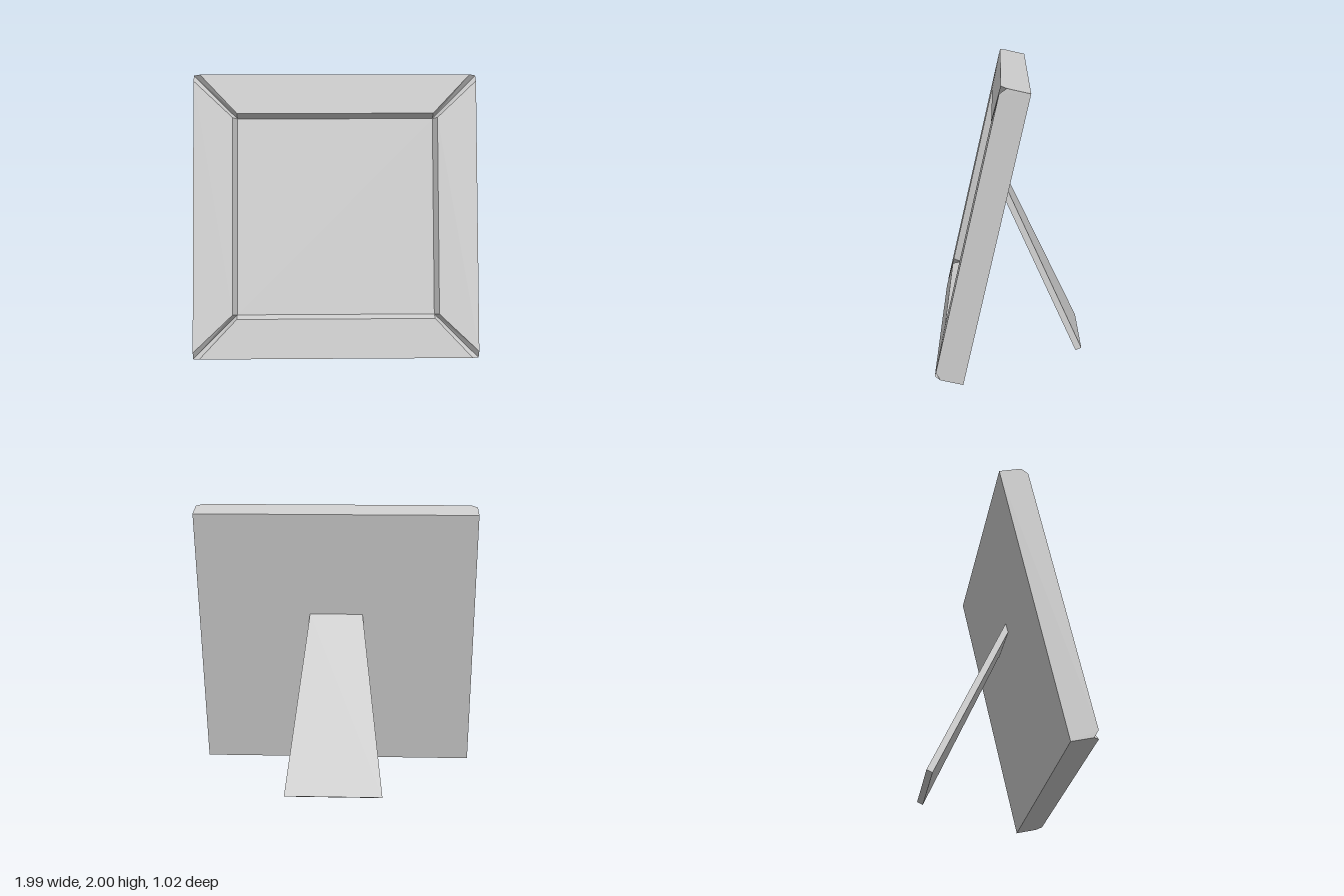
import * as THREE from 'three';

const HALF = 0.995;      // half of the outer square
const INNER = 0.69;      // half of the recessed panel
const LIP = 0.72;        // front edge of the inner bevel
const NOTCH = 0.95;      // where the front face stops before the mitre groove
const THICK = 0.195;
const RECESS = 0.06;

const material = new THREE.MeshStandardMaterial({ color: 0xcccccc, flatShading: true });

function add(parent, name, geometry) {
  const mesh = new THREE.Mesh(geometry, material);
  mesh.name = name;
  parent.add(mesh);
  return mesh;
}

// Flat-shaded geometry from convex polygons, each drawn as a fan
function fromPolygons(polygons) {
  const positions = [];
  for (const p of polygons) {
    for (let i = 1; i < p.length - 1; i++) positions.push(...p[0], ...p[i], ...p[i + 1]);
  }
  const geometry = new THREE.BufferGeometry();
  geometry.setAttribute('position', new THREE.Float32BufferAttribute(positions, 3));
  geometry.computeVertexNormals();
  return geometry;
}

// Top bar: front face, inner bevel, half a mitre groove at each end, outer side
function barGeometry() {
  const corners = (s) => ({
    lip: [s * INNER, LIP, 0],
    notch: [s * NOTCH, HALF, 0],
    valleyIn: [s * INNER, INNER, -RECESS],
    valleyOut: [s * HALF, HALF, -0.04],
    back: [s * HALF, HALF, -THICK],
  });
  const l = corners(-1), r = corners(1);
  return fromPolygons([
    [l.lip, r.lip, r.notch, l.notch],
    [l.valleyIn, r.valleyIn, r.lip, l.lip],
    [r.valleyIn, r.valleyOut, r.notch, r.lip],
    [l.lip, l.notch, l.valleyOut, l.valleyIn],
    [l.notch, r.notch, r.valleyOut, r.back, l.back, l.valleyOut],
  ]);
}

export function createModel() {
  const model = new THREE.Group();
  model.name = 'pictureFrame';

  // Leaning frame with four identical mitred bars
  const frame = new THREE.Group();
  frame.name = 'frame';
  frame.position.set(0, 1.03, 0.29);
  frame.rotation.x = -0.2234;
  model.add(frame);

  const bar = barGeometry();
  ['topBar', 'leftBar', 'bottomBar', 'rightBar'].forEach((name, i) => {
    add(frame, name, bar).rotation.z = -i * Math.PI / 2;
  });

  // Recessed picture surface and flat back
  add(frame, 'picturePanel', new THREE.PlaneGeometry(2 * INNER, 2 * INNER)).position.z = -RECESS;
  const back = add(frame, 'backPanel', new THREE.PlaneGeometry(2 * HALF, 2 * HALF));
  back.position.z = -THICK;
  back.rotation.y = Math.PI;

  // Tapered easel leg, its top end buried in the frame
  const outline = new THREE.Shape([
    new THREE.Vector2(-0.347, 0),
    new THREE.Vector2(0.347, 0),
    new THREE.Vector2(0.19, 1.313),
    new THREE.Vector2(-0.19, 1.313),
  ]);
  const legGeometry = new THREE.ExtrudeGeometry(outline, { depth: 0.045, bevelEnabled: false });
  legGeometry.translate(0, 0, -0.045);
  const leg = add(model, 'easelLeg', legGeometry);
  leg.position.z = -0.465;
  leg.rotation.x = 0.436;

  return model;
}
